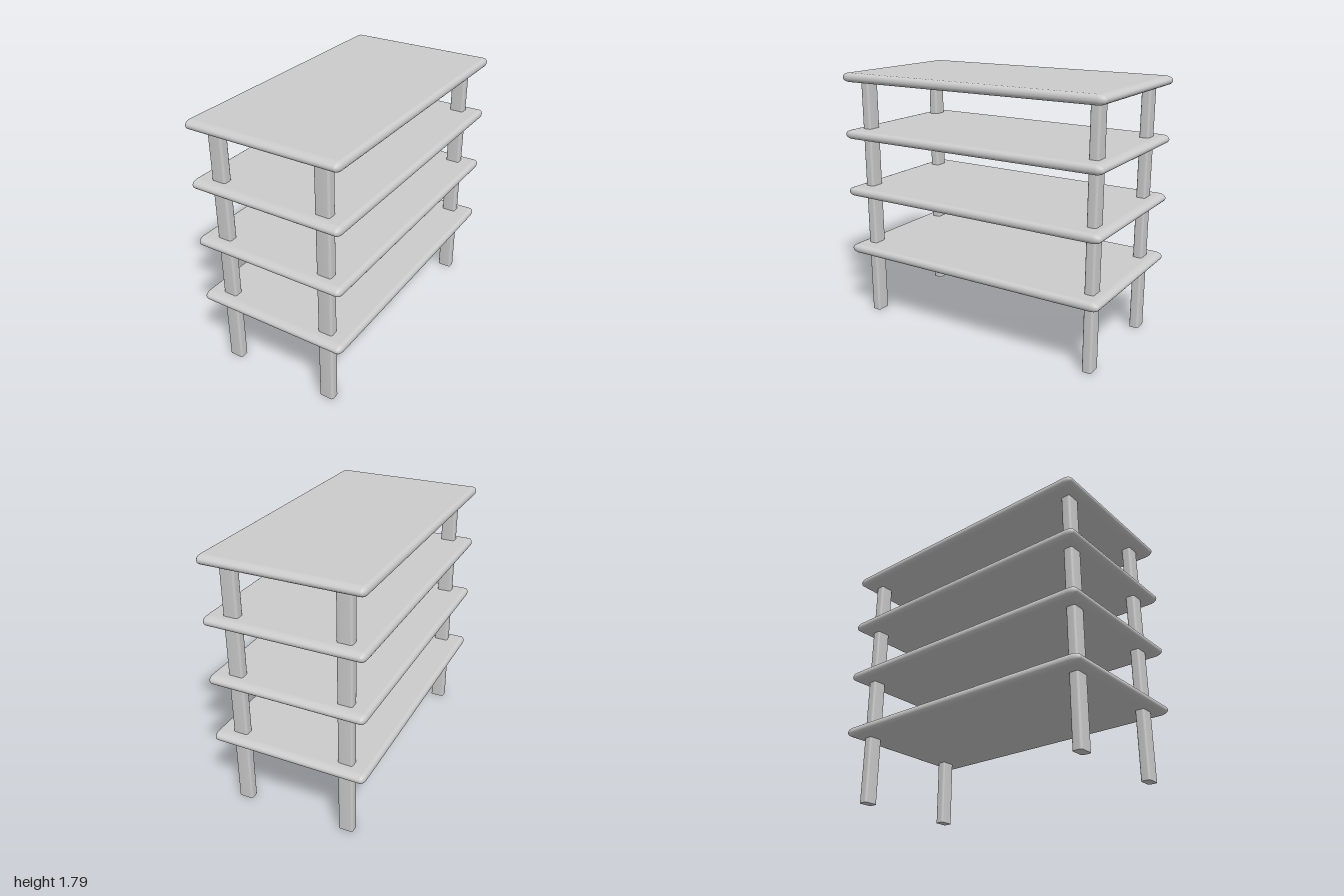
import * as THREE from 'three';
import { RoundedBoxGeometry } from 'three/addons/geometries/RoundedBoxGeometry.js';
import { toCreasedNormals } from 'three/addons/utils/BufferGeometryUtils.js';

const SHELF = { width: 1.086, thickness: 0.064, depth: 2, stretch: 1.8 };
const SHELF_HEIGHTS = [0.507, 0.943, 1.36, 1.76];
const LEG = { width: 0.102, depth: 0.066, height: 1.75, x: 0.381, z: 0.887 };

// Bullnosed board, stretched lengthwise so its end noses are longer than its side noses
function shelfGeometry() {
  const { width, thickness, depth, stretch } = SHELF;
  return new RoundedBoxGeometry(width, thickness, depth / stretch, 4, thickness / 2 - 0.001)
    .scale(1, 1, stretch);
}

// Upright post with softened vertical edges and flat ends
function legGeometry() {
  const w = LEG.width / 2, d = LEG.depth / 2, rx = 0.012, rz = 0.016;
  const s = new THREE.Shape();
  s.absellipse(w - rx, d - rz, rx, rz, 0, Math.PI / 2);
  s.absellipse(-w + rx, d - rz, rx, rz, Math.PI / 2, Math.PI);
  s.absellipse(-w + rx, -d + rz, rx, rz, Math.PI, Math.PI * 1.5);
  s.absellipse(w - rx, -d + rz, rx, rz, Math.PI * 1.5, Math.PI * 2);
  s.closePath();
  const geo = new THREE.ExtrudeGeometry(s, { depth: LEG.height, bevelEnabled: false, curveSegments: 4 });
  return toCreasedNormals(geo.rotateX(-Math.PI / 2), 0.7);
}

export function createModel() {
  const model = new THREE.Group();
  model.name = 'shelvingUnit';
  const material = new THREE.MeshStandardMaterial({ color: 0xcccccc });

  // Four shelves
  const shelfGeo = shelfGeometry();
  SHELF_HEIGHTS.forEach((y, i) => {
    const shelf = new THREE.Mesh(shelfGeo, material);
    shelf.name = `shelf${i + 1}`;
    shelf.position.y = y;
    model.add(shelf);
  });

  // Four legs running up through the shelves
  const legGeo = legGeometry();
  for (const [side, sx] of [['Left', 1], ['Right', -1]]) {
    for (const [end, sz] of [['front', 1], ['back', -1]]) {
      const leg = new THREE.Mesh(legGeo, material);
      leg.name = `${end}${side}Leg`;
      leg.position.set(sx * LEG.x, 0, sz * LEG.z);
      model.add(leg);
    }
  }
  return model;
}
